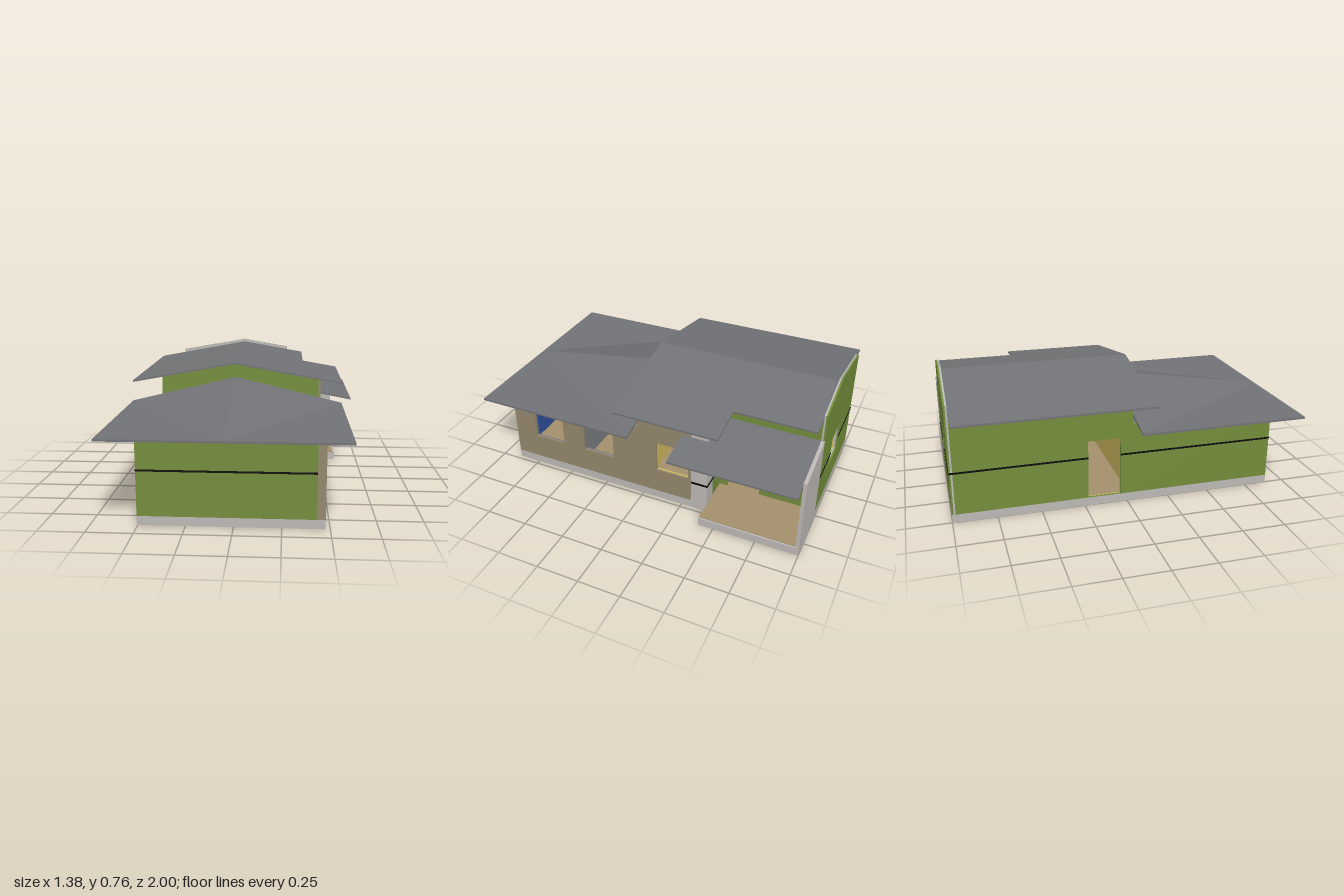
import * as THREE from 'three';

const mat = (name, color) => {
  const m = new THREE.MeshStandardMaterial({ color });
  m.name = name;
  return m;
};

export function createModel() {
  const green = mat('green paint', 0x738d3b);
  const brown = mat('brown paint', 0x94876b);
  const pale = mat('pale grey plaster', 0xbcb9b6);
  const yellow = mat('yellow interior', 0xd0b960);
  const grey = mat('grey interior', 0x7c7d82);
  const roofMat = mat('slate roof', 0x727376);
  const black = mat('black stripe', 0x0a0a0a);
  const tan = mat('tan floor', 0xa3906c);
  const blue = mat('blue interior', 0x2f4f9e);

  const house = new THREE.Group();
  house.name = 'house';
  const add = (name, geometry, material) => {
    const mesh = new THREE.Mesh(geometry, material);
    mesh.name = name;
    house.add(mesh);
    return mesh;
  };
  // Box given by its extents
  const box = (name, m, x0, x1, y0, y1, z0, z1) => {
    const g = new THREE.BoxGeometry(x1 - x0, y1 - y0, z1 - z0);
    g.translate((x0 + x1) / 2, (y0 + y1) / 2, (z0 + z1) / 2);
    return add(name, g, m);
  };
  const rect = (a, b, y0, y1) => [[a, y0], [b, y0], [b, y1], [a, y1]];
  const slab = (pts, holes, depth) => {
    const toV = (p) => p.map(([a, b]) => new THREE.Vector2(a, b));
    const shape = new THREE.Shape(toV(pts));
    holes.forEach((h) => shape.holes.push(new THREE.Path(toV(h))));
    return new THREE.ExtrudeGeometry(shape, { depth, bevelEnabled: false });
  };
  // Panel facing front or back, filling z0..z1; points are (x, y)
  const panelZ = (name, m, pts, z0, z1, holes = []) =>
    add(name, slab(pts, holes, z1 - z0).translate(0, 0, z0), m);
  // Panel facing the sides, filling x0..x1; points are (z, y)
  const panelX = (name, m, pts, x0, x1, holes = []) =>
    add(name, slab(pts, holes, x1 - x0).rotateY(-Math.PI / 2).translate(x1, 0, 0), m);

  const L = -0.505, R = 0.475, F = 0.885, B = -0.98, MID = 0.03, IN = 0.265;
  const PORCH = -0.41, Y = 0.05, T = 0.012;
  const ridge = -0.05;
  const under = (x) => 0.737 - 0.115 * Math.abs(x - ridge) / (x < ridge ? 0.62 : 0.65);
  const gable = (a, b) => [[a, Y], [b, Y], [b, under(b)], [ridge, under(ridge)], [a, under(a)]];

  // Plinth and floors
  box('plinth', pale, L, R, 0, Y, -1, F);
  box('porchPlinth', pale, R, 0.6, 0, Y, -1, PORCH);
  box('floor', tan, L + 0.02, R - 0.02, Y, Y + 0.003, B, F - 0.02);
  box('porchFloor', tan, IN, 0.59, Y, Y + 0.004, B, PORCH);

  // Left wall with its door opening
  const leftDoor = rect(-0.23, -0.04, Y + 0.002, 0.4);
  panelX('leftWallFront', green, rect(MID, F, Y, 0.48), L, L + T);
  panelX('leftWallRear', green, rect(B, MID, Y, under(L)), L, L + T, [leftDoor]);
  panelX('leftLiningFront', grey, rect(MID, F - T, Y, 0.48), L + T, L + 2 * T);
  panelX('leftLiningRear', yellow, rect(B, MID, Y, under(L)), L + T, L + 2 * T, [leftDoor]);

  // Right wall with three windows
  const w1 = rect(0.54, 0.74, 0.205, 0.4), w2 = rect(0.195, 0.395, 0.205, 0.4);
  const w3 = rect(-0.29, -0.09, 0.205, 0.4);
  panelX('rightWallFront', brown, rect(MID, F, Y, 0.48), R - T, R, [w1, w2]);
  panelX('rightWallRear', brown, rect(-0.31, MID, Y, under(R)), R - T, R, [w3]);
  panelX('rightLiningFront', grey, rect(MID, F - T, Y, 0.48), R - 2 * T, R - T, [w1, w2]);
  panelX('rightLiningRear', yellow, rect(-0.31, MID, Y, under(R)), R - 2 * T, R - T, [w3]);

  // Front wall, with a brown corner strip
  box('frontWall', green, L + T, 0.43, Y, 0.48, F - T, F);
  box('frontCorner', brown, 0.43, R - T, Y, 0.48, F - T, F);
  box('frontLining', blue, L + T, R - T, Y, 0.48, F - 2 * T, F - T);

  // Cross walls
  panelZ('upperFrontWall', green, gable(L + T, R - T), MID - T, MID);
  panelZ('crossWallLining', yellow, gable(L + 2 * T, R - 2 * T), MID - 2 * T, MID - T);
  box('crossWallFrontLining', grey, L + T, R - T, Y, 0.478, MID, MID + 0.006);
  box('frontRoomPartition', grey, L + 2 * T, R - 2 * T, Y, 0.478, 0.45, 0.47);
  panelZ('rearPartition', pale, gable(L + 2 * T, 0.385), -0.325, -0.31);

  // Porch recess: grey pier, return wall and side wall with door and window
  panelZ('pier', pale, [[0.385, Y], [R, Y], [R, under(R)], [0.385, under(0.385)]], PORCH, -0.31);
  panelZ('porchReturnWall', green, [[IN, Y], [0.385, Y], [0.385, under(0.385)], [IN, under(IN)]],
    PORCH, PORCH + T);
  const porchHoles = [rect(-0.66, -0.46, Y + 0.002, 0.4), rect(-0.9, -0.7, 0.21, 0.4)];
  const porchWall = rect(B, PORCH, Y, under(IN));
  panelX('porchWall', green, porchWall, IN - T, IN, porchHoles);
  panelX('porchWallLining', yellow, porchWall, IN - 2 * T, IN - T, porchHoles);

  // Back wall rising into a parapet
  const backWindow = rect(-0.17, 0.02, 0.205, 0.4);
  const parapet = [[L, Y], [IN, Y], [IN, 0.71], [ridge, 0.765], [L, 0.685]];
  panelZ('backWall', green, parapet, -1, -0.99, [backWindow]);
  panelZ('parapet', pale, parapet, -0.99, B, [backWindow]);
  panelZ('backLining', yellow, gable(L + 2 * T, IN - 2 * T), B, B + T, [backWindow]);
  panelZ('porchBackWall', pale, [[IN, Y], [0.6, Y], [0.6, 0.5], [IN, 0.545]], -1, B);

  // Painted stripes
  const S = 0.003, stripe = [0.293, 0.303];
  box('frontStripe', black, L, 0.43, ...stripe, F, F + S);
  [[MID - 0.07, F], [B - 0.02, -0.23]].forEach(([a, b]) =>
    box('leftStripe', black, L - S, L, ...stripe, a, b));
  [[L, -0.17], [0.02, IN]].forEach(([a, b]) =>
    box('backStripe', black, a, b, ...stripe, -1 - S, -1));
  [[-0.46, PORCH], [B, -0.66]].forEach(([a, b]) =>
    box('porchStripe', black, IN, IN + S, 0.18, 0.192, a, b));
  [[0.18, 0.192], [0.413, 0.421]].forEach(([a, b]) => {
    box('pierStripe', black, R, R + S, a, b, PORCH, -0.31);
    box('returnStripe', black, IN, R + S, a, b, PORCH - S, PORCH);
  });

  // Main gable roof, cut back on the right above the porch
  const roofSection = (right) => {
    const top = [[-0.67, under(-0.67)], [ridge, under(ridge)], [right, under(right)]];
    return [...top, ...top.map(([x, y]) => [x, y + 0.011]).reverse()];
  };
  panelZ('mainRoofFront', roofMat, roofSection(0.6), -0.51, 0.12);
  panelZ('mainRoofRear', roofMat, roofSection(0.375), B, -0.51);

  // Lean-to porch roof
  const lean = (x) => 0.455 + (0.685 - x) * 0.19;
  const leanTo = (a) => [[a, lean(a)], [0.685, lean(0.685)],
    [0.685, lean(0.685) + 0.011], [a, lean(a) + 0.011]];
  panelZ('porchRoofFront', roofMat, leanTo(R), PORCH, -0.25);
  panelZ('porchRoofRear', roofMat, leanTo(IN), B, PORCH);

  // Front roof: level front eave folding up to a gable at the back
  const c = -0.045, e = 0.49;
  const corners = [[-0.69, e, 1], [c, e, 1], [0.605, e, 1],
    [-0.69, e, MID], [c, 0.645, MID], [0.605, e, MID]];
  const pos = [...corners, ...corners.map(([x, y, z]) => [x, y - 0.012, z])].flat();
  const faces = [[0, 1, 3], [1, 4, 3], [1, 2, 5], [1, 5, 4]];
  const index = faces.flatMap(([a, b, d]) => [a, b, d, a + 6, d + 6, b + 6]);
  const rim = [0, 1, 2, 5, 4, 3];
  rim.forEach((a, i) => {
    const b = rim[(i + 1) % 6];
    index.push(a + 6, b + 6, b, a + 6, b, a);
  });
  let g = new THREE.BufferGeometry();
  g.setAttribute('position', new THREE.Float32BufferAttribute(pos, 3));
  g.setIndex(index);
  g = g.toNonIndexed();
  g.computeVertexNormals();
  add('frontRoof', g, roofMat);

  return house;
}
